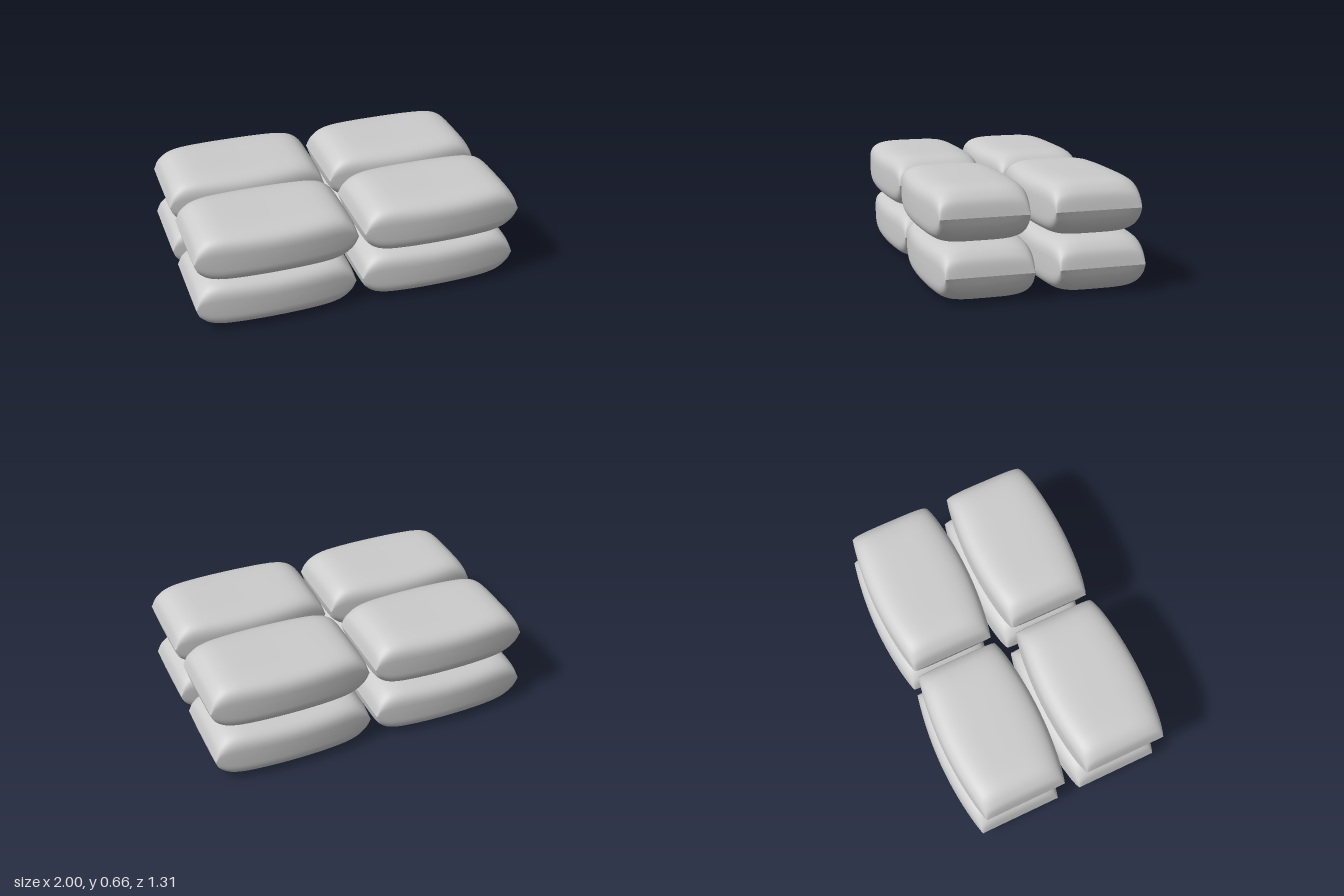
import * as THREE from 'three';

const HALF_LENGTH = 0.49;
const AROUND = 64;
const ALONG = 28;

// Half height of a sack from its middle out to the pinched end seam
const endProfile = new THREE.SplineCurve([
  [0, 0.161], [0.13, 0.162], [0.25, 0.163], [0.335, 0.16], [0.4, 0.145],
  [0.445, 0.113], [0.472, 0.073], [0.49, 0],
].map(([x, y]) => new THREE.Vector2(x, y)));

// Filled sack: squarish cross-sections lofted along x, flattened to a seam at both ends
function sackGeometry() {
  const half = endProfile.getPoints(ALONG);
  const stations = [
    ...half.slice(1).reverse().map((p) => [-p.x, p.y]),
    ...half.map((p) => [p.x, p.y]),
  ];
  const soften = (v) => Math.sign(v) * Math.sqrt(Math.abs(v));
  const positions = [];
  const indices = [];

  stations.forEach(([x, height], i) => {
    const u = x / HALF_LENGTH;
    const depth = 0.255 + 0.053 * (1 - u * u);
    for (let j = 0; j < AROUND; j++) {
      const a = (j / AROUND) * Math.PI * 2;
      positions.push(x, height * soften(Math.sin(a)), depth * soften(Math.cos(a)));
      if (i === stations.length - 1) continue;
      const p = i * AROUND + j;
      const q = i * AROUND + (j + 1) % AROUND;
      indices.push(p, p + AROUND, q, q, p + AROUND, q + AROUND);
    }
  });

  const geometry = new THREE.BufferGeometry();
  geometry.setAttribute('position', new THREE.Float32BufferAttribute(positions, 3));
  geometry.setIndex(indices);
  geometry.computeVertexNormals();
  return geometry;
}

export function createModel() {
  const model = new THREE.Group();
  model.name = 'sackStack';
  const material = new THREE.MeshStandardMaterial({ color: 0xcccccc });
  const geometry = sackGeometry();

  // Two layers of four; the upper layer sits slightly forward
  const layers = [
    { name: 'lower', y: 0.165, shift: -0.015 },
    { name: 'upper', y: 0.496, shift: 0.015 },
  ];
  for (const { name, y, shift } of layers) {
    const layer = new THREE.Group();
    layer.name = `${name}Layer`;
    for (const [row, z] of [['Front', 0.33], ['Back', -0.33]]) {
      for (const [side, x] of [['Left', 0.51], ['Right', -0.51]]) {
        const sack = new THREE.Mesh(geometry, material);
        sack.name = `${name}${row}${side}Sack`;
        sack.position.set(x, y, z + shift);
        layer.add(sack);
      }
    }
    model.add(layer);
  }
  return model;
}
